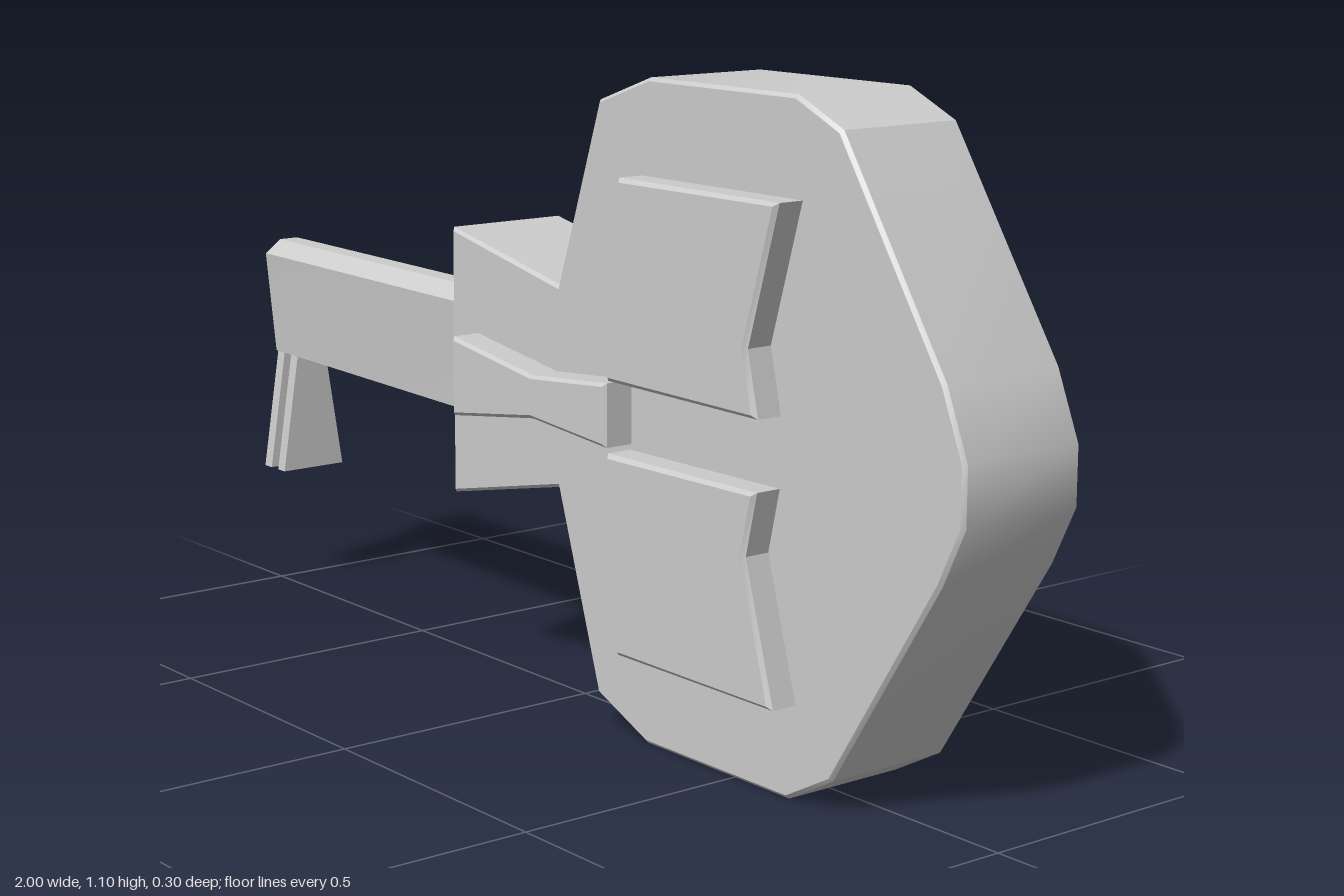
import * as THREE from 'three';
import { toCreasedNormals } from 'three/addons/utils/BufferGeometryUtils.js';

const material = new THREE.MeshStandardMaterial({ color: 0xcccccc });

function addMesh(group, name, geometry, crease = 0.5) {
  const mesh = new THREE.Mesh(toCreasedNormals(geometry, crease), material);
  mesh.name = name;
  group.add(mesh);
  return mesh;
}

// Extrude an outline in x/y between two z values with a fine edge bevel
function slab(points, z0, z1, bevel) {
  const shape = new THREE.Shape(points.map(([x, y]) => new THREE.Vector2(x, y)));
  const geometry = new THREE.ExtrudeGeometry(shape, {
    depth: z1 - z0 - 2 * bevel,
    bevelEnabled: bevel > 0,
    bevelSize: bevel,
    bevelThickness: bevel,
    bevelOffset: -bevel,
    bevelSegments: 1,
  });
  return geometry.translate(0, 0, z0 + bevel);
}

// Join [z, y] cross-sections placed along x, capping both ends
function loftX(sections) {
  const n = sections[0].ring.length;
  const positions = [];
  const index = [];
  for (const { x, ring } of sections) for (const [z, y] of ring) positions.push(x, y, z);
  for (let s = 0; s < sections.length - 1; s++) {
    for (let i = 0; i < n; i++) {
      const a = s * n + i, b = s * n + (i + 1) % n;
      index.push(a, b, a + n, b, b + n, a + n);
    }
  }
  const last = (sections.length - 1) * n;
  for (let i = 1; i < n - 1; i++) {
    index.push(0, i + 1, i, last, last + i, last + i + 1);
  }
  const geometry = new THREE.BufferGeometry();
  geometry.setAttribute('position', new THREE.Float32BufferAttribute(positions, 3));
  geometry.setIndex(index);
  geometry.computeVertexNormals();
  return geometry;
}

// Shaft section: chamfered top, sides drawing in towards the bottom
function shaftRing(bottom, top, half, taper) {
  const c = -0.0325;
  const shoulder = top - 0.025;
  return [
    [c - half + taper, bottom], [c - half, shoulder], [c - 0.02, top],
    [c + 0.02, top], [c + half, shoulder], [c + half - taper, bottom],
  ];
}

export function createModel() {
  const model = new THREE.Group();
  const midY = 0.55;

  // Thick bow and flared collar in one outline
  const body = [
    [-0.265, 0.8], [-0.265, 0.325], [0.04, 0.39], [0.15, 0.055], [0.28, 0],
    [0.63, 0], [0.73, 0.055], [0.955, 0.41], [1, 0.505], [1, 0.6],
    [0.955, 0.71], [0.73, 1.055], [0.63, 1.1], [0.28, 1.1], [0.15, 1.055], [0.04, 0.737],
  ];
  addMesh(model, 'body', slab(body, -0.15, 0.09, 0.006));

  // Two mirrored raised panels on the front
  const panel = [
    [0.237, 0.06], [0.605, 0.057], [0.58, 0.163], [0.648, 0.393], [0.265, 0.393], [0.237, 0.19],
  ];
  for (const [name, side] of [['upperPanel', 1], ['lowerPanel', -1]]) {
    const outline = panel.map(([x, y]) => [x, midY + side * y]);
    addMesh(model, name, slab(outline, 0.08, 0.143, 0.007));
  }

  // Waisted strip on the collar
  const strip = [
    [-0.187, 0.484], [0.04, 0.516], [0.24, 0.5], [0.24, 0.607], [0.04, 0.59], [-0.187, 0.623],
  ];
  addMesh(model, 'centreStrip', slab(strip, 0.08, 0.147, 0.006));

  // Shaft, flaring slightly where it enters the collar
  addMesh(model, 'shaft', loftX([
    { x: -1, ring: shaftRing(0.463, 0.684, 0.053, 0.02) },
    { x: -0.33, ring: shaftRing(0.452, 0.674, 0.053, 0.008) },
    { x: -0.25, ring: shaftRing(0.45, 0.672, 0.064, 0.008) },
  ]));

  // Two thin prongs that widen downwards
  const prong = (x, top) => ({
    x, ring: [[-0.1, 0.235], [-0.062, top], [-0.003, top], [0.035, 0.235]],
  });
  for (const [name, x] of [['outerProng', -0.995], ['innerProng', -0.947]]) {
    addMesh(model, name, loftX([prong(x, 0.48), prong(x + 0.024, 0.48)]));
  }

  return model;
}
